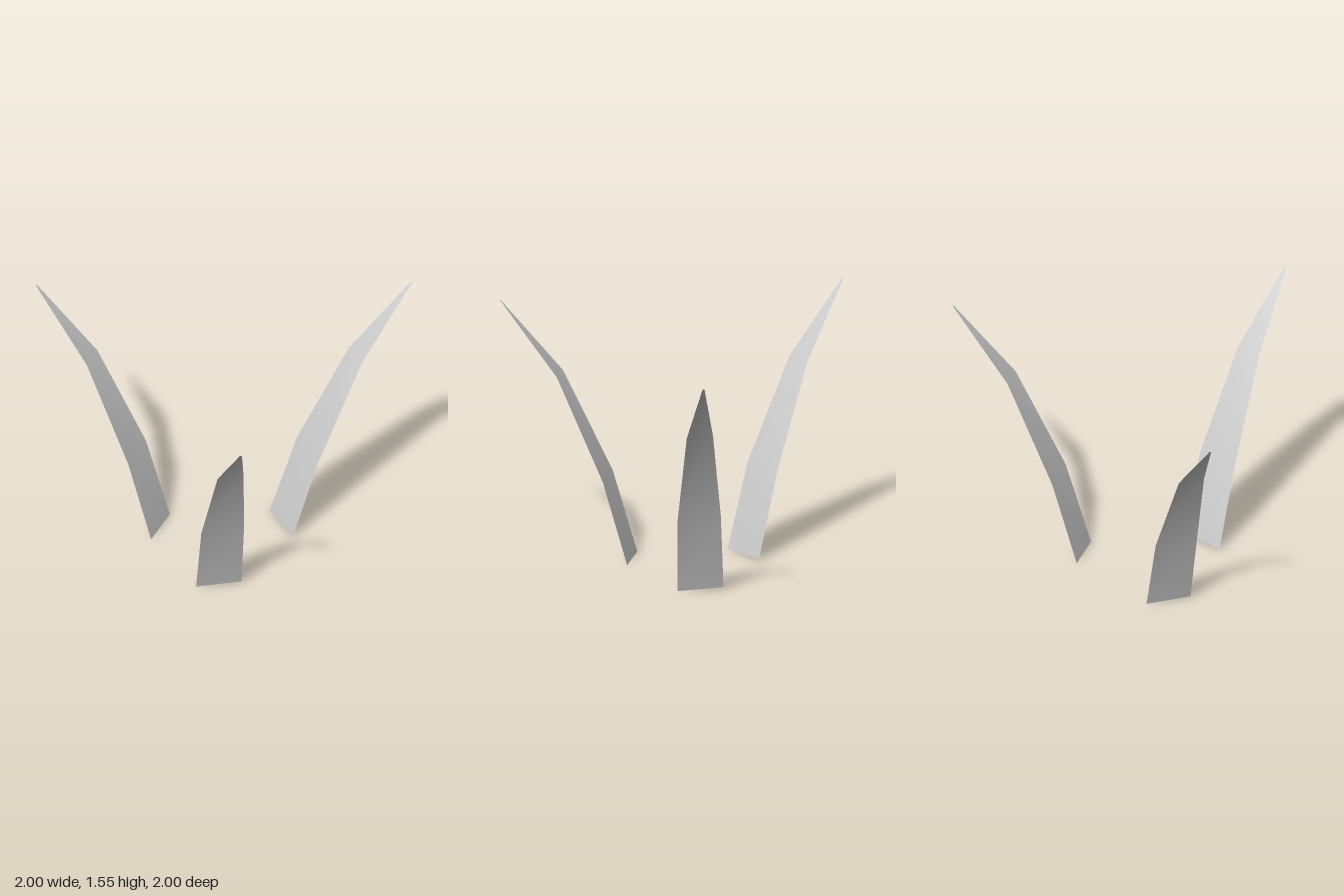
import * as THREE from 'three';

// Blade cross-sections from tip to base: outward lean, height, half width
const ROWS = [
  [0.8, 1.537, 0.006],
  [0.44, 1.11, 0.078],
  [0.15, 0.5, 0.128],
  [0, 0, 0.136],
];

// Thin tapering blade that leans outwards along +z
function bladeGeometry() {
  const geometry = new THREE.PlaneGeometry(2, 1, 1, ROWS.length - 1);
  const pos = geometry.attributes.position;
  for (let i = 0; i < pos.count; i++) {
    const [lean, height, half] = ROWS[Math.floor(i / 2)];
    pos.setXYZ(i, pos.getX(i) * half, height, lean);
  }
  geometry.computeVertexNormals();
  return geometry;
}

export function createModel() {
  const group = new THREE.Group();
  group.name = 'grassTuft';
  const material = new THREE.MeshStandardMaterial({ color: 0xcccccc, side: THREE.DoubleSide });
  const geometry = bladeGeometry();

  // Each blade: name, base centre, then pitch, yaw and roll
  const blades = [
    ['rightBlade', [-0.2, 0.01, -0.045], [0, -Math.PI / 2, 0]],
    ['frontBlade', [0.343, 0.013, 0.332], [0, 0.6, 0.01]],
    ['backBlade', [0.438, 0.012, -0.363], [0.025, 2.516, 0.055]],
  ];
  for (const [name, base, turn] of blades) {
    const blade = new THREE.Mesh(geometry, material);
    blade.name = name;
    blade.position.set(...base);
    blade.rotation.set(...turn, 'YXZ');
    group.add(blade);
  }
  return group;
}
